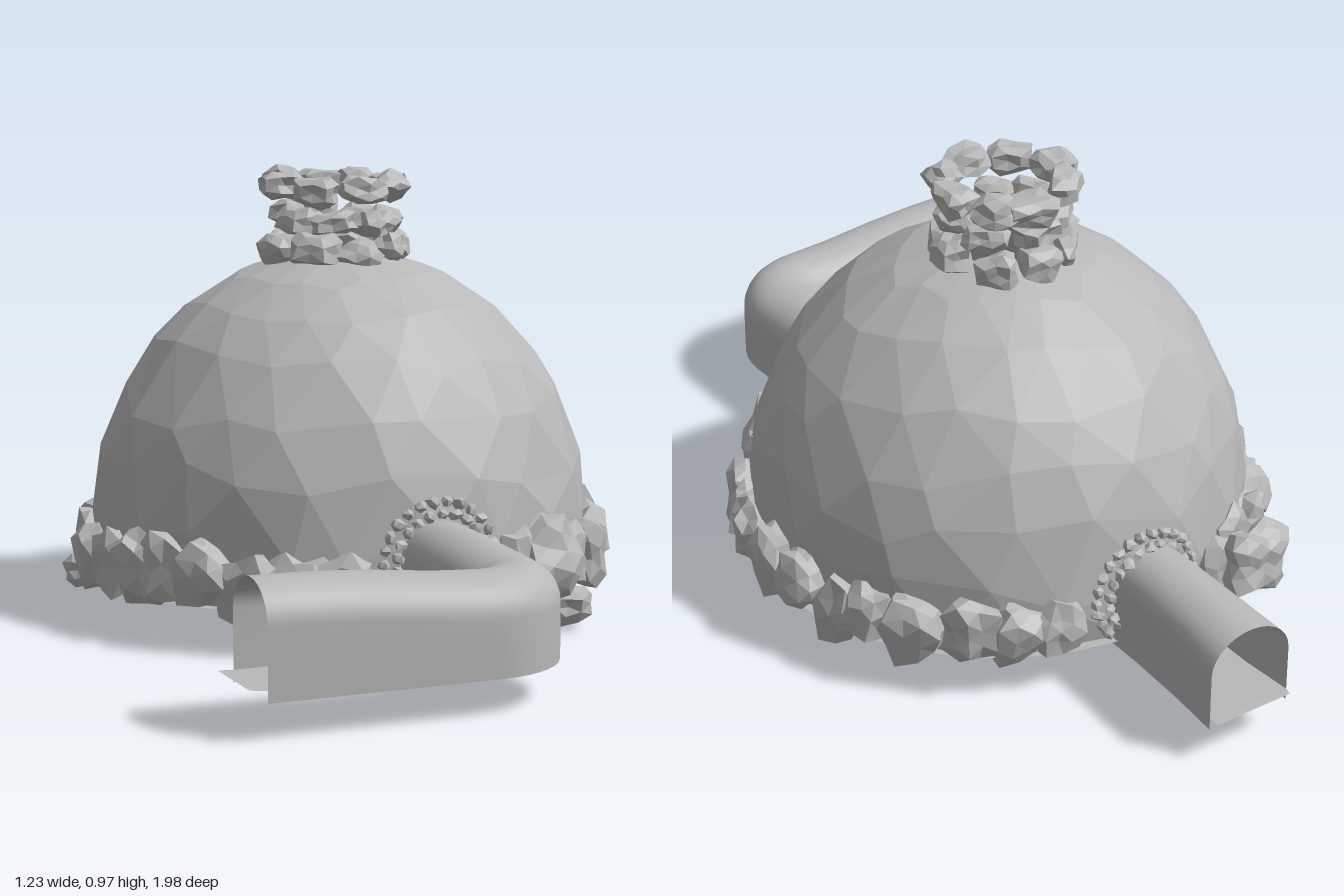
import * as THREE from 'three';

const CX = 0.01, CZ = -0.08;            // dome axis
const DOME = { r: 0.55, h: 0.59, y: 0.2, base: 0.09 };

export function createModel() {
  const model = new THREE.Group();
  model.name = 'stoneDomeShelter';
  const grey = new THREE.MeshStandardMaterial({ color: 0xb8b8b8, side: THREE.DoubleSide });
  grey.name = 'stone grey';

  const add = (geometry, name, parent = model) => {
    const mesh = new THREE.Mesh(geometry, grey);
    mesh.name = name;
    parent.add(mesh);
    return mesh;
  };
  const group = (name) => {
    const g = new THREE.Group();
    g.name = name;
    model.add(g);
    return g;
  };

  // Seeded random numbers
  let seed = 7;
  const rnd = (a = 0, b = 1) => {
    seed = (seed * 16807) % 2147483647;
    return a + (b - a) * (seed / 2147483647);
  };

  // Faceted dome shell, open at the top for the chimney
  const SEG = 20, ROWS = 7;
  const shell = new THREE.SphereGeometry(1, SEG, ROWS);
  const p = shell.attributes.position;
  for (let row = 0; row <= ROWS; row++) {
    const edge = row === 0 || row === ROWS;
    const jitter = Array.from({ length: SEG }, () => [rnd(-0.08, 0.08), edge ? 0 : rnd(-0.06, 0.06)]);
    for (let col = 0; col <= SEG; col++) {
      const [ja, jt] = jitter[col % SEG];
      const a = (col / SEG) * Math.PI * 2 - (row * Math.PI) / SEG + ja;
      const t = 0.19 + (1.758 - 0.19) * (row / ROWS) + jt;
      p.setXYZ(row * (SEG + 1) + col,
        CX - DOME.r * Math.sin(t) * Math.cos(a),
        DOME.y + DOME.h * Math.cos(t),
        CZ + DOME.r * Math.sin(t) * Math.sin(a));
    }
  }
  // the built-in sphere skips the pole triangles, so index every row in full
  const index = [];
  for (let r = 0; r < ROWS; r++) {
    for (let c = 0; c < SEG; c++) {
      const b = r * (SEG + 1) + c, d = b + SEG + 2;
      index.push(b + 1, b, d, b, b + SEG + 1, d);
    }
  }
  shell.setIndex(index);
  const dome = shell.toNonIndexed();
  dome.computeVertexNormals();
  add(dome, 'domeShell');

  // Floor disc with a round opening
  const floor = add(new THREE.RingGeometry(0.22, 0.555, 40), 'domeFloor');
  floor.rotation.x = Math.PI / 2;
  floor.position.set(CX, DOME.base, CZ);

  // Sweep an open cross-section along a ground path of [x, z, height, half width]
  const sweep = (path, profile) => {
    const pos = [], idx = [];
    let n = 0;
    path.forEach(([x, z, top, half], i) => {
      const a = path[Math.max(i - 1, 0)], b = path[Math.min(i + 1, path.length - 1)];
      const side = new THREE.Vector2(b[1] - a[1], a[0] - b[0]).normalize();
      const section = profile(top, half);
      n = section.length;
      for (const [s, y] of section) pos.push(x + side.x * s, y, z + side.y * s);
    });
    for (let i = 0; i < path.length - 1; i++) {
      for (let j = 0; j < n - 1; j++) {
        const a = i * n + j, b = a + n;
        idx.push(a, a + 1, b, a + 1, b + 1, b);
      }
    }
    const g = new THREE.BufferGeometry();
    g.setAttribute('position', new THREE.Float32BufferAttribute(pos, 3));
    g.setIndex(idx);
    g.computeVertexNormals();
    return g;
  };
  const arch = (top, half) => {
    const pts = [[-half, 0.075], [-half, 0.14]];
    for (let i = 0; i <= 14; i++) {
      const a = Math.PI * (1 - i / 14);
      pts.push([half * Math.cos(a), top - 0.08 + 0.08 * Math.sin(a)]);
    }
    return [...pts, [half, 0.14], [half, 0.075]];
  };
  const walkway = (top, half) => {
    const y = 0.1 + rnd(-0.004, 0.004);
    return [[-half * 0.99, y], [half * 0.99, y]];
  };

  // Front tunnel with a rounded bend
  const front = [[0.01, 0.4, 0.28, 0.085], [0.01, 0.55, 0.28, 0.085], [0.01, 0.7, 0.275, 0.088]];
  for (let i = 0; i <= 10; i++) {
    const a = (i / 10) * Math.PI / 2;
    front.push([-0.1 + 0.11 * Math.cos(a), 0.79 + 0.11 * Math.sin(a), 0.272, 0.09]);
  }
  front.push([-0.2, 0.9, 0.277, 0.09], [-0.33, 0.9, 0.29, 0.09], [-0.45, 0.9, 0.298, 0.09], [-0.585, 0.9, 0.3, 0.09]);
  add(sweep(front, arch), 'frontTunnel');
  add(sweep([...front, [-0.62, 0.9, 0.3, 0.085]], walkway), 'frontTunnelFloor');

  // Straight rear tunnel
  const back = [[0.005, -0.52, 0.295, 0.08], [0.005, -0.7, 0.295, 0.083], [0.008, -0.85, 0.29, 0.089], [0.012, -0.97, 0.285, 0.097]];
  add(sweep(back, arch), 'backTunnel');
  add(sweep([...back, [0.012, -0.99, 0.28, 0.095]], walkway), 'backTunnelFloor');

  // Rough faceted stone: a ball pushed in and out by waves
  const stone = (parent, name, x, y, z, sx, sy, sz, turn, detail = 1) => {
    const g = new THREE.IcosahedronGeometry(1, detail);
    const q = g.attributes.position, s = rnd(0, 50), v = new THREE.Vector3();
    for (let i = 0; i < q.count; i++) {
      v.fromBufferAttribute(q, i);
      const k = 1 + 0.13 * Math.sin(5 * v.x + s) + 0.12 * Math.sin(6 * v.y + 2 * s) + 0.12 * Math.sin(5 * v.z + 3 * s);
      // squared-off sides make the stone blocky
      const box = 0.85 / Math.max(Math.abs(v.x), Math.abs(v.y), Math.abs(v.z));
      v.multiplyScalar(k * (0.45 + 0.55 * box));
      q.setXYZ(i, v.x * sx, v.y * sy, v.z * sz);
    }
    g.computeVertexNormals();
    const m = add(g, name, parent);
    m.position.set(x, y, z);
    m.rotation.set(rnd(-0.15, 0.15), turn, rnd(-0.25, 0.25));
    return m;
  };

  // Ring of stones round the foot, leaving the two tunnel mouths free
  const foot = group('footStones');
  const COUNT = 14;
  for (const sideSign of [1, -1]) {
    for (let i = 0; i < COUNT; i++) {
      const a = 0.37 + (Math.PI - 0.74) * (i / (COUNT - 1)) + rnd(-0.03, 0.03);
      const r = 0.55 + rnd(-0.01, 0.012);
      stone(foot, 'footStone', CX + sideSign * r * Math.sin(a), rnd(0.13, 0.165), CZ + r * Math.cos(a),
        rnd(0.05, 0.075), rnd(0.065, 0.09), rnd(0.035, 0.05), sideSign * a);
    }
  }
  // Larger boulders and low stones resting on the ground
  stone(foot, 'boulder', 0.27, 0.16, 0.38, 0.12, 0.1, 0.08, 0.5, 2);
  stone(foot, 'boulder', -0.27, 0.18, -0.64, 0.095, 0.08, 0.06, 0.4, 2);
  stone(foot, 'lowStone', 0.36, 0.05, 0.35, 0.065, 0.042, 0.06, 0.7);
  stone(foot, 'lowStone', -0.39, 0.05, -0.5, 0.075, 0.042, 0.06, 0.6);
  stone(foot, 'lowStone', -0.53, 0.085, -0.25, 0.05, 0.04, 0.06, 0.2);

  // Small pebbles framing each tunnel mouth
  const pebbles = group('tunnelMouthPebbles');
  for (const dir of [1, -1]) {
    for (const [radius, count] of [[0.1, 17], [0.125, 20]]) {
      for (let i = 0; i < count; i++) {
        const a = -0.75 + (Math.PI + 1.5) * (i / (count - 1));
        const dx = radius * Math.cos(a), y = 0.195 + radius * Math.sin(a);
        const ring = DOME.r * Math.sqrt(1 - ((y - DOME.y) / DOME.h) ** 2);
        const z = CZ + dir * (Math.sqrt(ring * ring - dx * dx) + (radius < 0.11 ? 0.008 : 0));
        stone(pebbles, 'pebble', CX + dx, y, z, rnd(0.012, 0.016), rnd(0.012, 0.016), 0.015, rnd(0, 3), 0);
      }
    }
  }

  // Chimney: three loose rings of stones
  const chimney = group('chimney');
  const layers = [[0.79, 0.128, 8, 0.042], [0.855, 0.108, 7, 0.034], [0.925, 0.128, 8, 0.038]];
  layers.forEach(([y, r, count, high], k) => {
    for (let i = 0; i < count; i++) {
      const a = ((i + k * 0.5) / count) * Math.PI * 2 + rnd(-0.1, 0.1);
      stone(chimney, 'chimneyStone', CX + r * Math.sin(a), y + rnd(-0.008, 0.008), -0.1 + r * Math.cos(a),
        rnd(0.046, 0.062), high * rnd(0.8, 1.05), rnd(0.034, 0.045), a);
    }
  });

  return model;
}
